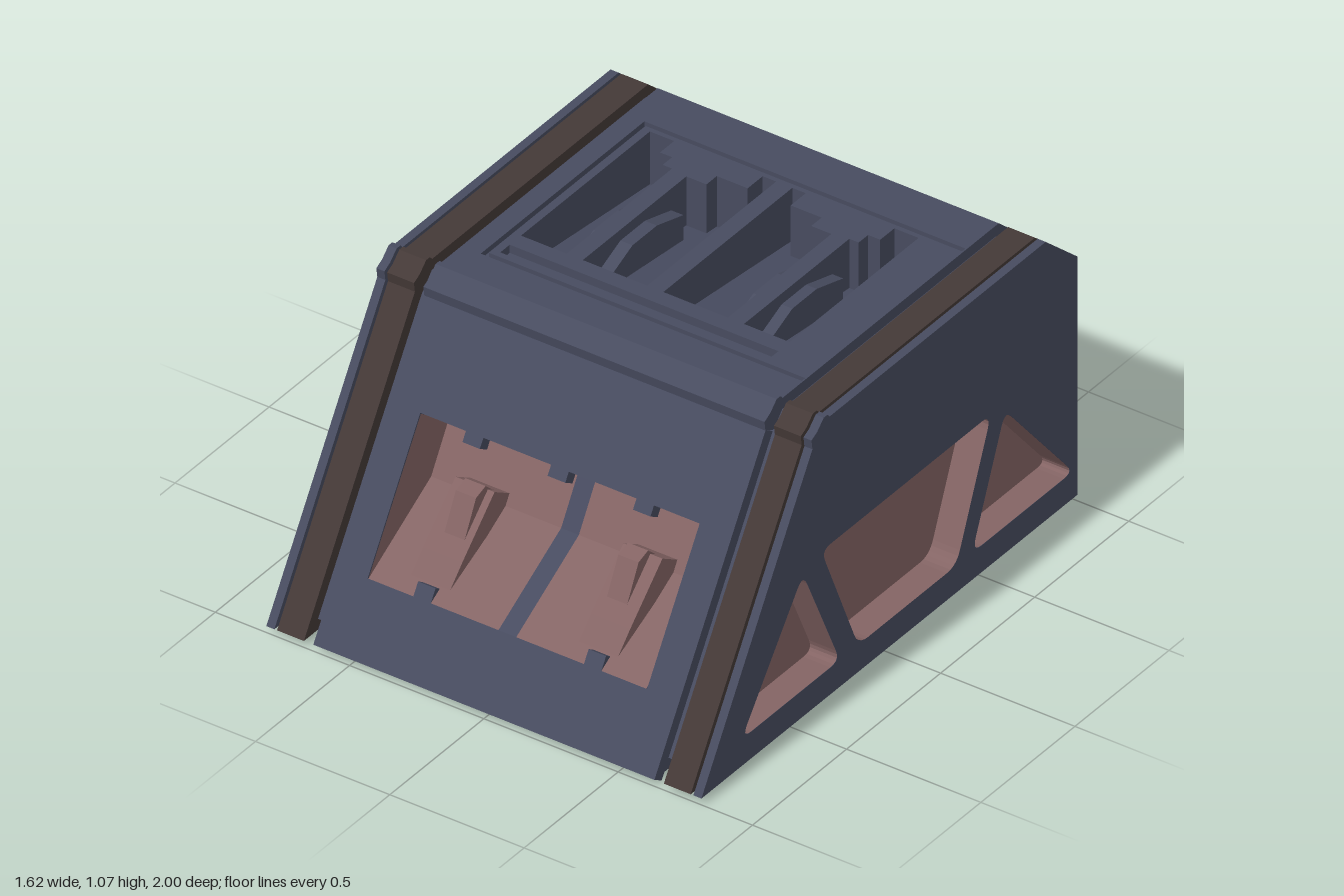
import * as THREE from 'three';

const mat = (color) => new THREE.MeshStandardMaterial({ color, flatShading: true });
const BODY = mat(0x474b5f), BAND = mat(0x443937), PINK = mat(0x846464);

const poly = (pts) => new THREE.Shape(pts.map((p) => new THREE.Vector2(...p)));
const zy = (pts) => pts.map(([z, y]) => [-z, y]);

function mesh(parent, name, geometry, material) {
  const m = new THREE.Mesh(geometry, material);
  m.name = name;
  parent.add(m);
  return m;
}

// Extrude a shape drawn in (-z, y) along x from x0 to x1
function extrudeX(shape, x0, x1) {
  const g = new THREE.ExtrudeGeometry(shape, { depth: x1 - x0, bevelEnabled: false, curveSegments: 5 });
  return g.rotateY(Math.PI / 2).translate(x0, 0, 0);
}

// Turn a closed solid into an open pocket: drop some faces, flip the rest
function pocket(solid, drop) {
  const p = solid.attributes.position, out = [];
  const t = new THREE.Triangle(), n = new THREE.Vector3();
  for (let i = 0; i < p.count; i += 3) {
    t.setFromAttributeAndIndices(p, i, i + 1, i + 2);
    t.getNormal(n);
    if (drop(n)) continue;
    for (const v of [t.a, t.c, t.b]) out.push(v.x, v.y, v.z);
  }
  const g = new THREE.BufferGeometry();
  g.setAttribute('position', new THREE.Float32BufferAttribute(out, 3));
  g.computeVertexNormals();
  return g;
}

// Polygon with rounded corners, scaled about its centre
function rounded(pts, r, scale = 1) {
  const c = pts.reduce((s, p) => s.add(new THREE.Vector2(...p)), new THREE.Vector2()).divideScalar(pts.length);
  const v = pts.map((p) => new THREE.Vector2(...p).sub(c).multiplyScalar(scale).add(c));
  const s = new THREE.Shape();
  v.forEach((p, i) => {
    const a = v[(i + v.length - 1) % v.length], b = v[(i + 1) % v.length];
    const from = p.clone().add(a.clone().sub(p).setLength(r));
    const to = p.clone().add(b.clone().sub(p).setLength(r));
    if (i) s.lineTo(from.x, from.y); else s.moveTo(from.x, from.y);
    s.quadraticCurveTo(p.x, p.y, to.x, to.y);
  });
  s.closePath();
  return s;
}

// Small lip along the top front edge
const LIP = [[0.41, 0.96], [0.415, 0.995], [0.385, 1.01], [0.35, 1.043], [0.33, 1.043], [0.318, 1.03]];
const OUTER = zy([[1, 0], ...LIP, [-0.83, 1.03], [-1, 0.88], [-1, 0]]);
const INNER = zy([[0.925, 0.04], [0.375, 0.93], [0.32, 0.99], [-0.815, 0.99], [-0.96, 0.86], [-0.96, 0.04]]);
const SIDE_OPENINGS = [
  [[0.46, 0.525], [0.785, 0.1], [0.265, 0.1]],
  [[0.36, 0.555], [-0.54, 0.555], [-0.355, 0.1], [0.165, 0.1]],
  [[-0.615, 0.525], [-0.44, 0.1], [-0.975, 0.1]],
].map(zy);

function buildSide() {
  const side = new THREE.Group();
  const holed = (profile, x0, x1) => {
    const s = poly(profile);
    s.holes = SIDE_OPENINGS.map((o) => rounded(o, 0.05, 1.006));
    return extrudeX(s, x0, x1);
  };
  mesh(side, 'grooveFloor', holed(INNER, 0.62, 0.795), BODY);
  mesh(side, 'edgeBand', holed(OUTER, 0.67, 0.77), BAND);
  mesh(side, 'sidePlate', holed(OUTER, 0.78, 0.81), BODY);
  for (const o of SIDE_OPENINGS)
    mesh(side, 'sideRecess', pocket(extrudeX(rounded(o, 0.05), 0.71, 0.81), (n) => n.x > 0.5), PINK);
  return side;
}

// Sloped front panel; local y runs up the slope, local z points out of it
function buildFront() {
  const front = new THREE.Group();
  front.name = 'frontPanel';
  front.position.set(0, 0, 1);
  front.rotation.x = -Math.atan2(0.59, 0.96);
  const half = [[0.033, 0.252], [0.285, 0.252], [0.285, 0.3], [0.35, 0.3], [0.35, 0.252], [0.52, 0.252],
    [0.52, 0.786], [0.35, 0.786], [0.35, 0.75], [0.285, 0.75], [0.285, 0.786], [0.033, 0.786], [0.033, 0.75]];
  const left = half.map(([x, y]) => [-x, y]).reverse();
  const s = poly([[-0.635, 0], [0.635, 0], [0.635, 1.127], [-0.635, 1.127]]);
  s.holes = [poly([...half, ...left].map(([x, y]) => [x - 0.005, y]))];
  mesh(front, 'frontSkin', new THREE.ExtrudeGeometry(s, { depth: 0.045, bevelEnabled: false }).translate(0, 0, -0.045), BODY);

  // Wedge shaped recesses, joined by a channel in the middle; profiles are (depth, slope)
  const ramp = poly([[0, 0.252], [0.184, 0.589], [0.18, 0.783], [0, 0.783]]);
  const open = (n) => n.z > 0.9;
  mesh(front, 'middleChannel', pocket(extrudeX(ramp, -0.038, 0.028), (n) => open(n) || Math.abs(n.x) > 0.5), BODY);
  const clip = poly([[0.01, 0.31], [0.03, 0.4], [0.09, 0.63], [0.2, 0.63], [0.19, 0.58]]);
  const hook = poly([[0.05, 0.43], [0.035, 0.6], [0.07, 0.64], [0.18, 0.62], [0.1, 0.43]]);
  for (const m of [-1, 1]) {
    const span = (shape, a, b) => extrudeX(shape, Math.min(m * a, m * b) - 0.005, Math.max(m * a, m * b) - 0.005);
    mesh(front, 'frontRecess', pocket(span(ramp, 0.033, 0.517), (n) => open(n) || n.x * m < -0.5), PINK);
    mesh(front, 'frontClip', span(clip, 0.24, 0.385), PINK);
    mesh(front, 'frontHook', span(hook, 0.265, 0.34), PINK);
  }
  return front;
}

// Top panel; local y runs towards the back, local z points up
function buildTop() {
  const top = new THREE.Group();
  top.name = 'topPanel';
  top.position.y = 1.03;
  top.rotation.x = -Math.PI / 2;
  const slots = [
    [[-0.52, -0.06], [-0.52, 0.625], [-0.43, 0.625], [-0.43, 0.55], [-0.385, 0.55], [-0.385, 0.5], [-0.35, 0.5], [-0.35, -0.06]],
    [[-0.29, -0.06], [-0.29, 0.49], [-0.215, 0.49], [-0.215, 0.545], [-0.1, 0.545], [-0.1, 0.625], [-0.05, 0.625], [-0.05, -0.06]],
  ];
  const mirrored = slots.map((h) => h.map(([x, y]) => [-0.04 - x, y]));
  const frame = [[-0.565, 0.66], [0.63, 0.66], [0.63, 0.642], [-0.547, 0.642],
    [-0.547, -0.192], [0.63, -0.192], [0.63, -0.21], [-0.565, -0.21]];
  const strip = [[-0.52, -0.17], [0.48, -0.17], [0.48, -0.12], [-0.52, -0.12]];
  const s = poly([[-0.635, -0.34], [0.635, -0.34], [0.635, 0.83], [-0.635, 0.83]]);
  s.holes = [...slots, ...mirrored, frame, strip].map(poly);
  const slab = (shape, z0, z1) =>
    new THREE.ExtrudeGeometry(shape, { depth: z1 - z0, bevelEnabled: false }).translate(0, 0, z0);
  mesh(top, 'topSkin', slab(s, -0.2, 0), BODY);
  mesh(top, 'frameGrooveFloor', slab(poly(frame), -0.2, -0.02), BODY);
  mesh(top, 'stripFloor', slab(poly(strip), -0.2, -0.03), BODY);
  const floor = poly([[0, -0.06], [0.14, 0.1], [0.195, 0.625], [0.21, 0.625], [0.21, -0.06]]);
  const clip = poly([[0.1, 0], [0.04, 0.14], [0.04, 0.27], [0.08, 0.41], [0.18, 0.41], [0.15, 0.1]]);
  for (const x of [-0.52, 0.01]) mesh(top, 'topRecessFloor', extrudeX(floor, x, x + 0.47), BODY);
  for (const x of [-0.39, 0.205]) mesh(top, 'topClip', extrudeX(clip, x, x + 0.145), BODY);
  return top;
}

export function createModel() {
  const model = new THREE.Group();
  model.name = 'container';

  // Bottom, back and rear chamfer in one bent sheet
  const sheet = zy([[1, 0], [-1, 0], [-1, 0.88], [-0.83, 1.03], [-0.81, 0.96], [-0.95, 0.84], [-0.95, 0.05], [0.95, 0.05]]);
  mesh(model, 'bottomAndBack', extrudeX(poly(sheet), -0.635, 0.635), BODY);
  mesh(model, 'frontLip', extrudeX(poly(zy([...LIP, [0.3, 0.97], [0.37, 0.94]])), -0.635, 0.635), BODY);
  model.add(buildFront(), buildTop());

  const left = buildSide(), right = buildSide();
  left.name = 'leftSide';
  right.name = 'rightSide';
  right.scale.x = -1;
  model.add(left, right);
  return model;
}
